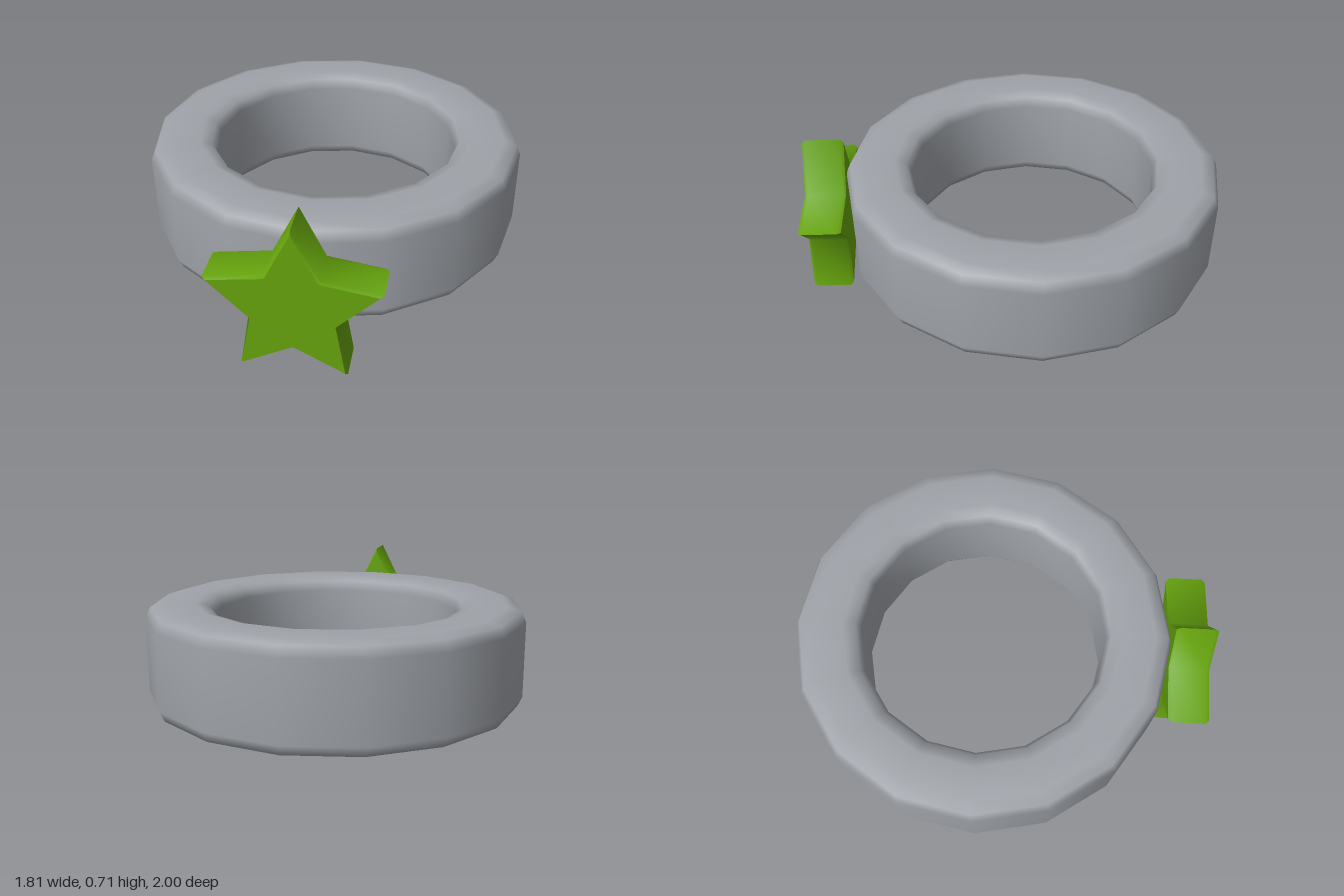
import * as THREE from 'three';
import { mergeVertices, toCreasedNormals } from 'three/addons/utils/BufferGeometryUtils.js';

const grey = new THREE.MeshStandardMaterial({ color: 0x9fa3a9 });
grey.name = 'grey band';
const green = new THREE.MeshStandardMaterial({ color: 0x65a30d });
green.name = 'green star';

// Sixteen-sided band with a softly bevelled rectangular section
function bandGeometry() {
  const inner = 0.59, outer = 0.905, bottom = 0.1, top = 0.59;
  const bevel = [[0, 0.065], [0.022, 0.018], [0.08, 0]];
  const back = [...bevel].reverse();
  const section = [
    ...back.map(([a, b]) => [outer - a, bottom + b]),
    ...bevel.map(([a, b]) => [outer - a, top - b]),
    ...back.map(([a, b]) => [inner + a, top - b]),
    ...bevel.map(([a, b]) => [inner + a, bottom + b]),
  ];
  section.push(section[0]);
  const lathe = new THREE.LatheGeometry(section.map(([r, y]) => new THREE.Vector2(r, y)), 16);
  lathe.deleteAttribute('uv');
  lathe.deleteAttribute('normal');
  const geometry = mergeVertices(lathe, 1e-4);
  geometry.computeVertexNormals();
  return geometry;
}

// Five-pointed star lofted through four rings, giving narrow bevels front and back
function starGeometry() {
  const half = 0.098, count = 10;
  const rings = [[-half, 0.955], [-half + 0.016, 1], [half - 0.016, 1], [half, 0.955]];
  const positions = [], index = [];
  for (const [z, scale] of rings) {
    for (let i = 0; i < count; i++) {
      const radius = (i % 2 ? 0.198 : 0.394) * scale;
      const angle = Math.PI / 2 + i * Math.PI / 5;
      positions.push(radius * Math.cos(angle), radius * Math.sin(angle), z);
    }
  }
  const backCentre = rings.length * count, frontCentre = backCentre + 1;
  positions.push(0, 0, -half, 0, 0, half);
  const last = (rings.length - 1) * count;
  for (let i = 0; i < count; i++) {
    const j = (i + 1) % count;
    for (let k = 0; k < last; k += count) {
      index.push(k + i, k + j, k + count + j, k + i, k + count + j, k + count + i);
    }
    index.push(backCentre, j, i, frontCentre, last + i, last + j);
  }
  const geometry = new THREE.BufferGeometry();
  geometry.setAttribute('position', new THREE.Float32BufferAttribute(positions, 3));
  geometry.setIndex(index);
  return toCreasedNormals(geometry, Math.PI / 3);
}

export function createModel() {
  const model = new THREE.Group();
  model.name = 'starRing';

  const band = new THREE.Mesh(bandGeometry(), grey);
  band.name = 'band';
  band.position.z = -0.095;

  const star = new THREE.Mesh(starGeometry(), green);
  star.name = 'star';
  star.position.set(0, 0.32, 0.902);

  model.add(band, star);
  return model;
}
